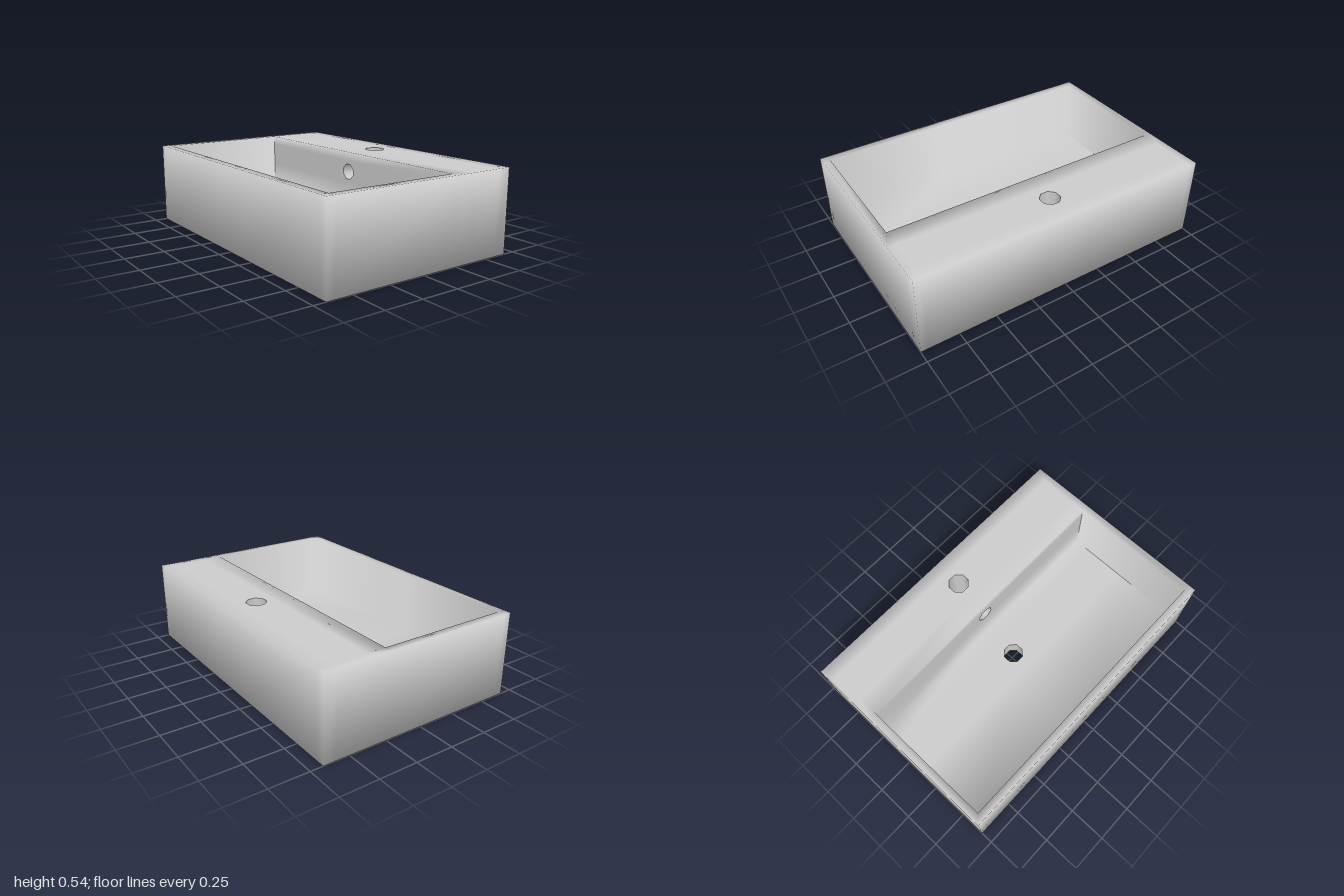
import * as THREE from 'three';
import { mergeGeometries } from 'three/addons/utils/BufferGeometryUtils.js';

const H = 0.54, FLOOR = 0.12, R = 0.066;
const TAP_Z = -0.47, DRAIN_Z = 0.01, OVERFLOW_Y = 0.405, OVERFLOW_R = 0.055;

// Grid lines shared by all sheets, so that neighbouring sheets meet vertex to vertex
const X = [-1, -0.95, -0.15, 0.15, 0.95, 1];
const Z = [-0.67, -0.58, -0.36, -0.24, 0.62, 0.67];
const ZB = [-0.67, -0.58, -0.36, -0.24, -0.12, 0.14, 0.62, 0.67];
const flip = list => list.map(v => -v).reverse();

// Sheet directions: map (u, v) at a distance d to space; u x v is the outward normal
const DIR = {
  front: { n: [0, 0, 1], at: (u, v, d) => [u, v, d] },
  back: { n: [0, 0, -1], at: (u, v, d) => [-u, v, d] },
  right: { n: [1, 0, 0], at: (u, v, d) => [d, v, -u] },
  left: { n: [-1, 0, 0], at: (u, v, d) => [d, v, u] },
  up: { n: [0, 1, 0], at: (u, v, d) => [u, d, -v] },
  down: { n: [0, -1, 0], at: (u, v, d) => [u, d, v] },
};

// Eight-sided hole with flat sides
function octagon(cu, cv, r) {
  return Array.from({ length: 8 }, (_, i) => {
    const a = (i + 0.5) * Math.PI / 4;
    return new THREE.Vector2(cu + r * Math.cos(a), cv + r * Math.sin(a));
  });
}

// Flat sheet made of rectangular cells; holes are [u, v, radius], skip drops cells
function sheet(dir, d, us, vs, holes = [], skip = () => false) {
  const cells = [];
  for (let i = 0; i < us.length - 1; i++) {
    for (let j = 0; j < vs.length - 1; j++) {
      const [u0, u1, v0, v1] = [us[i], us[i + 1], vs[j], vs[j + 1]];
      if (skip((u0 + u1) / 2, (v0 + v1) / 2)) continue;
      const shape = new THREE.Shape([[u0, v0], [u1, v0], [u1, v1], [u0, v1]]
        .map(p => new THREE.Vector2(...p)));
      for (const [u, v, r] of holes) {
        if (u > u0 && u < u1 && v > v0 && v < v1) shape.holes.push(new THREE.Path(octagon(u, v, r)));
      }
      cells.push(new THREE.ShapeGeometry(shape));
    }
  }
  const geo = mergeGeometries(cells);
  const pos = geo.attributes.position;
  for (let i = 0; i < pos.count; i++) pos.setXYZ(i, ...DIR[dir].at(pos.getX(i), pos.getY(i), d));
  return { geo, n: new THREE.Vector3(...DIR[dir].n) };
}

// Smooth normals: every shared corner takes the mean direction of the sheets meeting there
function blendNormals(sheets) {
  const corners = new Map();
  const p = new THREE.Vector3();
  const each = fn => sheets.forEach(s => {
    const pos = s.geo.attributes.position;
    for (let i = 0; i < pos.count; i++) {
      p.fromBufferAttribute(pos, i);
      fn(s, i, [p.x, p.y, p.z].map(c => Math.round(c * 1e4)).join());
    }
  });
  each((s, i, key) => {
    if (!corners.has(key)) corners.set(key, new Set());
    corners.get(key).add(s.n);
  });
  each((s, i, key) => {
    const sum = new THREE.Vector3();
    corners.get(key).forEach(n => sum.add(n));
    sum.normalize();
    s.geo.attributes.normal.setXYZ(i, sum.x, sum.y, sum.z);
  });
}

export function createModel() {
  const group = new THREE.Group();
  const material = new THREE.MeshStandardMaterial({ color: 0xcccccc });
  const lining = new THREE.MeshStandardMaterial({ color: 0xcccccc, side: THREE.DoubleSide });
  const add = (name, geo, mat = material) => {
    const mesh = new THREE.Mesh(geo, mat);
    mesh.name = name;
    group.add(mesh);
    return mesh;
  };

  const inX = X.slice(1, -1), inZ = Z.slice(3, 5), floorZ = ZB.slice(3, 7);
  const inBowl = (u, v) => Math.abs(u) < 0.95 && -v > -0.24 && -v < 0.62;
  const parts = {
    // Outer shell
    frontWall: sheet('front', 0.67, X, [0, H]),
    backWall: sheet('back', -0.67, X, [0, H]),
    rightWall: sheet('right', 1, flip(Z), [0, H]),
    leftWall: sheet('left', -1, Z, [0, H]),
    underside: sheet('down', 0, X, ZB, [[0, TAP_Z, R], [0, DRAIN_Z, R]]),
    // Tap deck and rim around the bowl
    deckAndRim: sheet('up', H, X, flip(Z), [[0, -TAP_Z, R]], inBowl),
    // Bowl
    bowlFloor: sheet('up', FLOOR, inX, flip(floorZ), [[0, -DRAIN_Z, R]]),
    bowlBack: sheet('front', -0.24, inX, [FLOOR, 0.33, 0.48, H], [[0, OVERFLOW_Y, OVERFLOW_R]]),
    bowlFront: sheet('back', 0.62, inX, [FLOOR, H]),
    bowlLeftSide: sheet('left', 0.95, inZ, [FLOOR, H]),
    bowlRightSide: sheet('right', -0.95, flip(inZ), [FLOOR, H]),
  };
  blendNormals(Object.values(parts));
  for (const [name, s] of Object.entries(parts)) add(name, s.geo);

  // Linings of the tap hole, the drain and the overflow
  const tube = (name, r, length) => add(name,
    new THREE.CylinderGeometry(r, r, length, 8, 1, true).rotateY(Math.PI / 8), lining);
  tube('tapHole', R, H).position.set(0, H / 2, TAP_Z);
  tube('drainHole', R, FLOOR).position.set(0, FLOOR / 2, DRAIN_Z);
  const overflow = tube('overflowHole', OVERFLOW_R, 0.14);
  overflow.rotation.x = Math.PI / 2;
  overflow.position.set(0, OVERFLOW_Y, -0.31);
  add('overflowEnd', new THREE.CircleGeometry(OVERFLOW_R, 8, Math.PI / 8))
    .position.set(0, OVERFLOW_Y, -0.38);

  return group;
}
